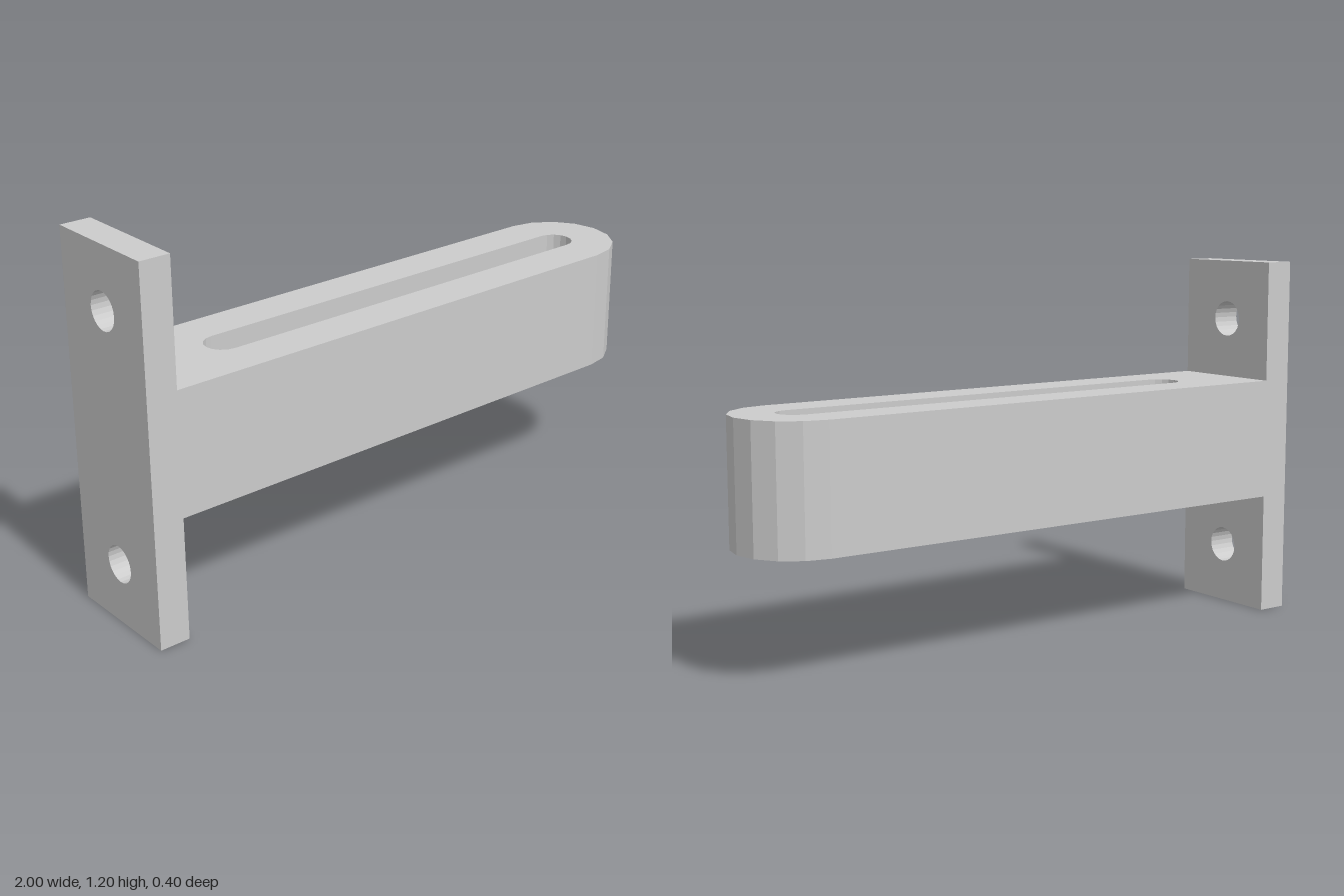
import * as THREE from 'three';

const material = new THREE.MeshStandardMaterial({ color: 0xcccccc, flatShading: true });

function extrude(name, shape, depth, curveSegments) {
  const geometry = new THREE.ExtrudeGeometry(shape, { depth, curveSegments, bevelEnabled: false });
  const mesh = new THREE.Mesh(geometry, material);
  mesh.name = name;
  return mesh;
}

export function createModel() {
  const group = new THREE.Group();
  group.name = 'slottedBracket';

  // Upright mounting plate with two bolt holes
  const plateShape = new THREE.Shape();
  plateShape.moveTo(-0.2, 0).lineTo(0.2, 0).lineTo(0.2, 1.2).lineTo(-0.2, 1.2).closePath();
  for (const y of [0.2, 1.0]) {
    plateShape.holes.push(new THREE.Path().absarc(0, y, 0.06, 0, Math.PI * 2, true));
  }
  const plate = extrude('mountingPlate', plateShape, 0.1, 12);
  plate.geometry.rotateY(Math.PI / 2).translate(-1, 0, 0);
  group.add(plate);

  // Horizontal arm with a faceted round end
  const armShape = new THREE.Shape();
  armShape.moveTo(-0.9, -0.2).lineTo(0.8, -0.2);
  armShape.absarc(0.8, 0, 0.2, -Math.PI / 2, Math.PI / 2, false);
  armShape.lineTo(-0.9, 0.2).closePath();

  // Long slot through the full height of the arm
  const slot = new THREE.Path();
  slot.absarc(0.8, 0, 0.06, -Math.PI / 2, Math.PI / 2, false);
  slot.absarc(-0.6, 0, 0.06, Math.PI / 2, Math.PI * 1.5, false);
  slot.closePath();
  armShape.holes.push(slot);

  const arm = extrude('slottedArm', armShape, 0.4, 4);
  arm.geometry.rotateX(-Math.PI / 2).translate(0, 0.4, 0);
  group.add(arm);

  return group;
}
